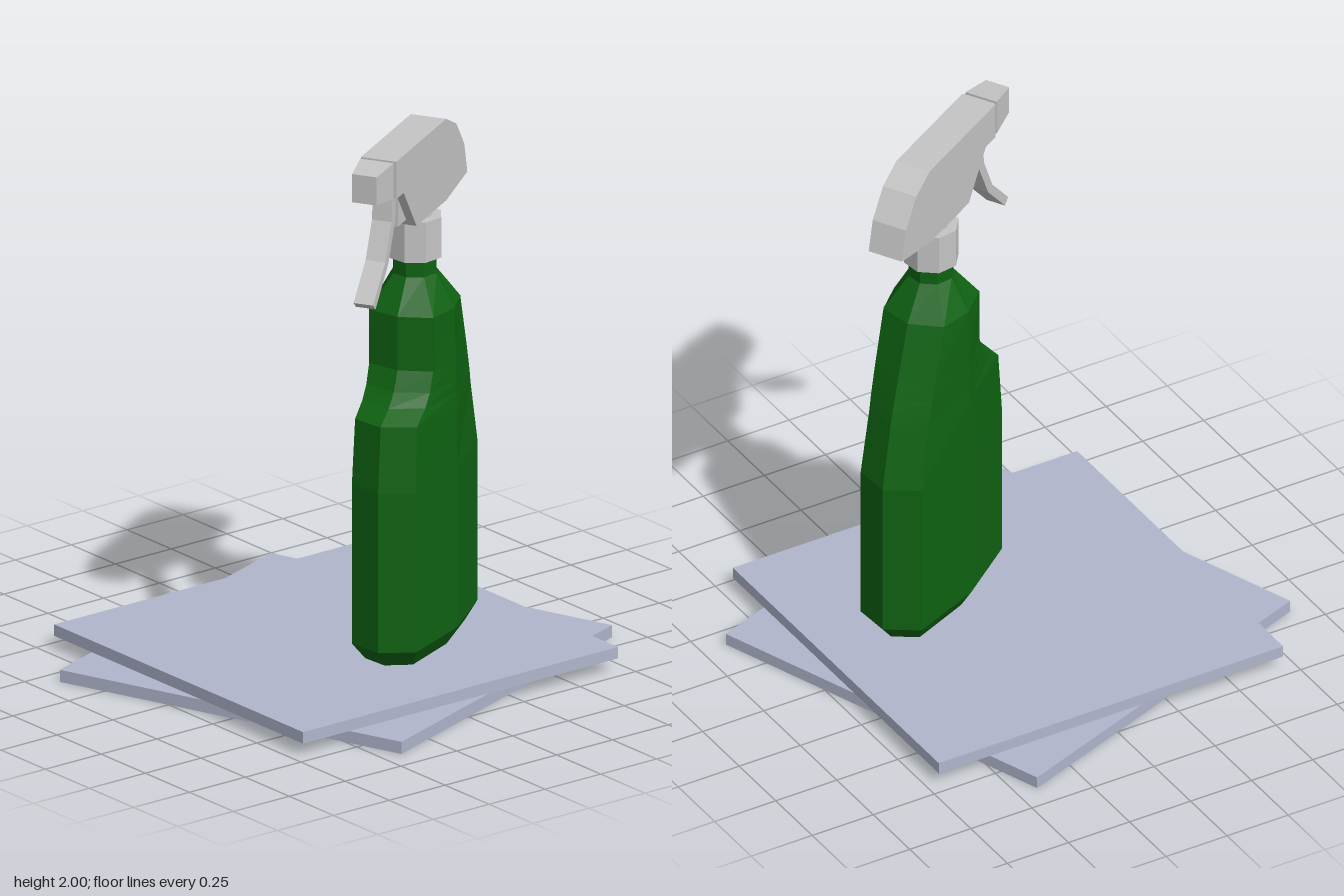
import * as THREE from 'three';

const mat = (name, color) => {
  const m = new THREE.MeshStandardMaterial({ color, flatShading: true });
  m.name = name;
  return m;
};

// Closed faceted skin through equal-length rings of [x, y, z], bottom to top
function loft(rings) {
  const pos = [];
  const n = rings[0].length;
  const tri = (...pts) => pts.forEach((p) => pos.push(...p));
  const centre = (ring) => [0, 1, 2].map((k) => ring.reduce((s, p) => s + p[k], 0) / n);
  for (let i = 0; i < rings.length - 1; i++) {
    for (let j = 0; j < n; j++) {
      const k = (j + 1) % n;
      const [a, b, c, d] = [rings[i][j], rings[i][k], rings[i + 1][j], rings[i + 1][k]];
      tri(a, c, b);
      tri(b, c, d);
    }
  }
  const low = rings[0], top = rings[rings.length - 1];
  for (let j = 0; j < n; j++) {
    const k = (j + 1) % n;
    tri(centre(low), low[j], low[k]);
    tri(centre(top), top[k], top[j]);
  }
  const g = new THREE.BufferGeometry();
  g.setAttribute('position', new THREE.Float32BufferAttribute(pos, 3));
  g.computeVertexNormals();
  return g;
}

// Side outline extruded symmetrically across z
function slab(points, width) {
  const shape = new THREE.Shape(points.map(([x, y]) => new THREE.Vector2(x, y)));
  const g = new THREE.ExtrudeGeometry(shape, { depth: width, bevelEnabled: false });
  return g.translate(0, 0, -width / 2);
}

export function createModel() {
  const model = new THREE.Group();
  const cloth = mat('cloth blue grey', 0xb0b5cc);
  const green = mat('bottle green', 0x0f6212);
  const grey = mat('spray head grey', 0xc4c4c4);

  const add = (parent, name, geometry, material) => {
    const mesh = new THREE.Mesh(geometry, material);
    mesh.name = name;
    parent.add(mesh);
    return mesh;
  };

  // Two stacked square cloths, the lower one turned
  const lower = add(model, 'lowerCloth', new THREE.BoxGeometry(1.41, 0.045, 1.41), cloth);
  lower.position.y = 0.0225;
  lower.rotation.y = THREE.MathUtils.degToRad(20);
  add(model, 'upperCloth', new THREE.BoxGeometry(1.41, 0.043, 1.41), cloth).position.y = 0.0675;

  // The spray bottle points its nozzle along its own -x
  const bottle = new THREE.Group();
  bottle.name = 'sprayBottle';
  bottle.position.set(0.195, 0, 0.2);
  bottle.rotation.y = Math.PI / 6;
  model.add(bottle);

  // Body levels: y, front tip, front corner, back corner, back tip, corner half width, middle half width
  const levels = [
    [0.089, 0.29, 0.245, 0.245, 0.29, 0.09, 0.12],
    [0.155, 0.35, 0.292, 0.29, 0.35, 0.122, 0.16],
    [0.75, 0.35, 0.292, 0.29, 0.35, 0.122, 0.16],
    [0.99, 0.325, 0.274, 0.235, 0.293, 0.117, 0.16],
    [1.035, 0.25, 0.2, 0.222, 0.28, 0.119, 0.158],
    [1.08, 0.2, 0.16, 0.208, 0.264, 0.12, 0.157],
    [1.15, 0.165, 0.13, 0.187, 0.24, 0.121, 0.155],
    [1.35, 0.165, 0.13, 0.125, 0.17, 0.122, 0.15],
    [1.47, 0.082, 0.058, 0.058, 0.082, 0.058, 0.082],
    [1.54, 0.082, 0.058, 0.058, 0.082, 0.058, 0.082],
  ];
  add(bottle, 'body', loft(levels.map(([y, ft, fc, bc, bt, w, m]) => [
    [bt, y, 0], [bc, y, w], [0, y, m], [-fc, y, w],
    [-ft, y, 0], [-fc, y, -w], [0, y, -m], [bc, y, -w],
  ])), green);

  // Screw collar and stem
  const ring = (name, r, y0, y1) => {
    const g = new THREE.CylinderGeometry(r, r, y1 - y0, 8);
    add(bottle, name, g, grey).position.y = (y0 + y1) / 2;
  };
  ring('collar', 0.1, 1.53, 1.68);
  ring('stem', 0.063, 1.67, 1.71);

  // Spray head
  add(bottle, 'head', slab([
    [-0.345, 1.86], [-0.275, 1.86], [-0.152, 1.695], [0.13, 1.695], [0.331, 1.735],
    [0.302, 1.85], [0.227, 1.95], [0.13, 2], [-0.345, 2],
  ], 0.134), grey);

  // Nozzle, tapering to the tip, with a narrow joint behind it
  add(bottle, 'nozzleJoint', new THREE.BoxGeometry(0.03, 0.12, 0.11), grey)
    .position.set(-0.352, 1.931, 0);
  const taper = new THREE.BoxGeometry(0.12, 0.135, 0.126);
  const p = taper.attributes.position;
  for (let i = 0; i < p.count; i++) {
    if (p.getX(i) < 0) {
      p.setY(i, p.getY(i) * 0.78);
      p.setZ(i, p.getZ(i) * 0.74);
    }
  }
  taper.computeVertexNormals();
  add(bottle, 'nozzle', taper, grey).position.set(-0.42, 1.932, 0);

  // Pump block under the head, and the curved trigger
  add(bottle, 'pumpBlock', new THREE.BoxGeometry(0.13, 0.15, 0.07), grey)
    .position.set(-0.185, 1.795, 0);
  add(bottle, 'trigger', slab([
    [-0.305, 1.87], [-0.315, 1.76], [-0.375, 1.63], [-0.49, 1.507],
    [-0.466, 1.485], [-0.345, 1.615], [-0.281, 1.75], [-0.27, 1.87],
  ], 0.074), grey);

  return model;
}
